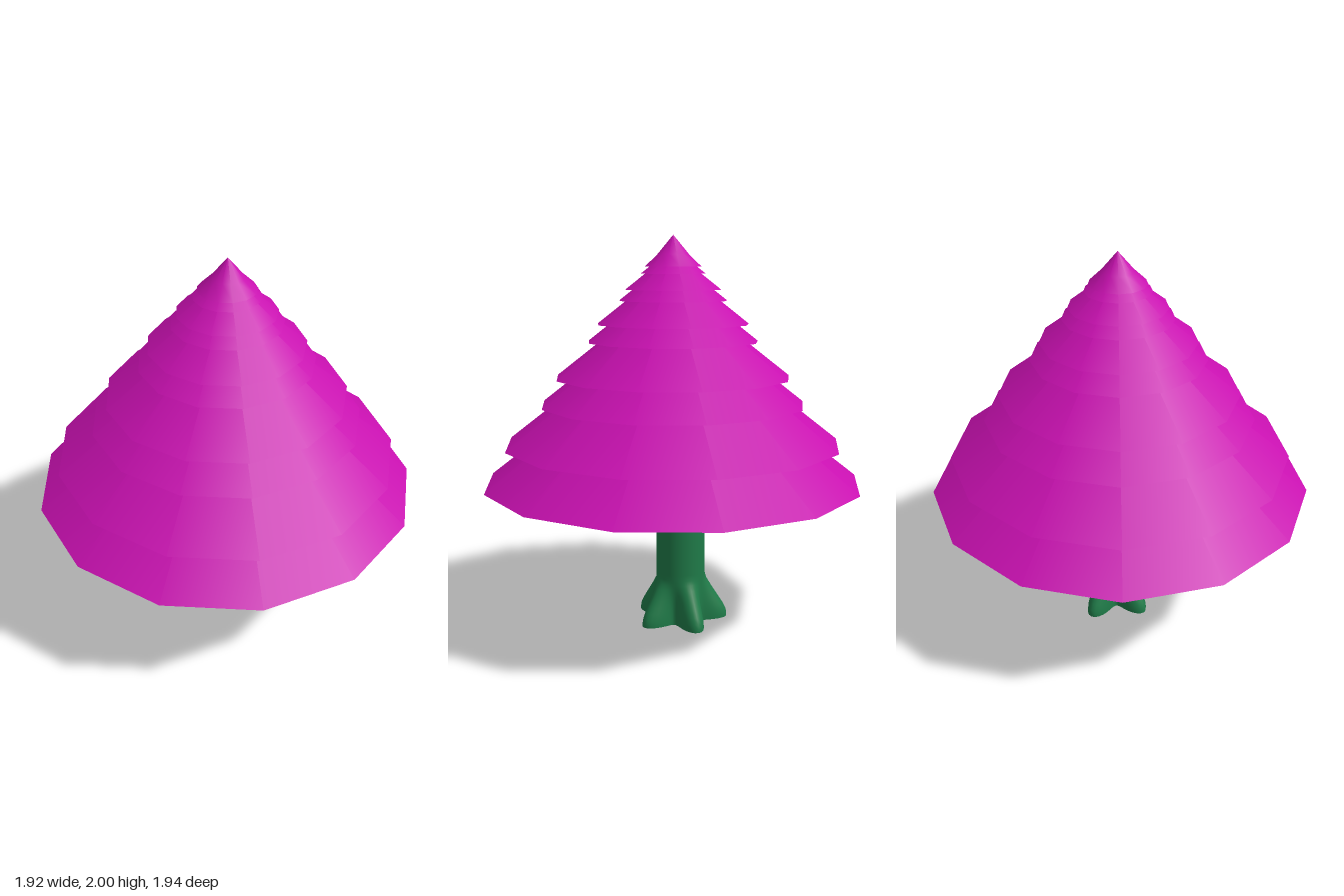
import * as THREE from 'three';

const leafMat = new THREE.MeshStandardMaterial({ color: 0xc810b0, side: THREE.DoubleSide });
const barkMat = new THREE.MeshStandardMaterial({ color: 0x1f7a48, side: THREE.DoubleSide });

function addMesh(parent, name, geometry, material) {
  const mesh = new THREE.Mesh(geometry, material);
  mesh.name = name;
  parent.add(mesh);
  return mesh;
}

// Open 13-sided cone skirt; the rim sits slightly off the apex axis
function tierGeometry(profile) {
  const points = profile.map(([r, y]) => new THREE.Vector2(r, y));
  const geo = new THREE.LatheGeometry(points, 13, Math.PI / 2);
  const pos = geo.attributes.position;
  for (let i = 0; i < pos.count; i++) {
    const r = Math.hypot(pos.getX(i), pos.getZ(i));
    pos.setX(i, pos.getX(i) - 0.0145 * r);
  }
  return geo;
}

// Round trunk whose foot spreads into five root lobes
function trunkGeometry() {
  const radius = 0.128;
  const rows = [
    [0, 0.12], [0.015, 0.12], [0.04, 0.115], [0.07, 0.1], [0.1, 0.081], [0.13, 0.062],
    [0.16, 0.043], [0.19, 0.025], [0.215, 0.01], [0.24, 0.002], [0.27, 0], [1.38, 0],
  ];
  const flare = new Map(rows.map(([y, f]) => [Math.fround(y), f]));
  const geo = new THREE.LatheGeometry(rows.map(([y]) => new THREE.Vector2(radius, y)), 80);
  const pos = geo.attributes.position;
  const firstLobe = THREE.MathUtils.degToRad(-9);
  for (let i = 0; i < pos.count; i++) {
    const angle = Math.atan2(pos.getZ(i), pos.getX(i));
    const lobe = Math.pow((1 + Math.cos(5 * (angle - firstLobe))) / 2, 1.1);
    const r = radius + flare.get(pos.getY(i)) * lobe;
    pos.setX(i, Math.cos(angle) * r);
    pos.setZ(i, Math.sin(angle) * r);
  }
  geo.computeVertexNormals();
  return geo;
}

export function createModel() {
  const tree = new THREE.Group();
  tree.name = 'tree';

  // Foliage tiers: rim radius and rim height
  const foliage = new THREE.Group();
  foliage.name = 'foliage';
  tree.add(foliage);
  const tiers = [
    [0.976, 0.752], [0.867, 0.952], [0.681, 1.155], [0.604, 1.292], [0.437, 1.472],
    [0.388, 1.56], [0.275, 1.677], [0.244, 1.731], [0.165, 1.81],
  ];
  tiers.forEach(([r, y], i) => {
    addMesh(foliage, `foliageTier${i + 1}`, tierGeometry([[r, y], [0, y + r * 0.78]]), leafMat);
  });
  addMesh(foliage, 'foliageTip', tierGeometry([[0.143, 1.845], [0.08, 1.905], [0, 2]]), leafMat);

  // Trunk with roots
  const trunk = addMesh(tree, 'trunk', trunkGeometry(), barkMat);
  trunk.position.set(0.01, 0, -0.037);

  // Cut branch stub on the left side of the trunk
  const stub = new THREE.Group();
  stub.name = 'branchStub';
  stub.position.set(0.1, 0.637, 0.005);
  stub.rotation.z = -Math.PI / 2;
  const outline = [[0.017, 0], [0.017, 0.042], [0.027, 0.052], [0.027, 0.066], [0.02, 0.078], [0, 0.08]];
  addMesh(stub, 'stub', new THREE.LatheGeometry(outline.map(([r, y]) => new THREE.Vector2(r, y)), 16), barkMat);
  tree.add(stub);

  return tree;
}
